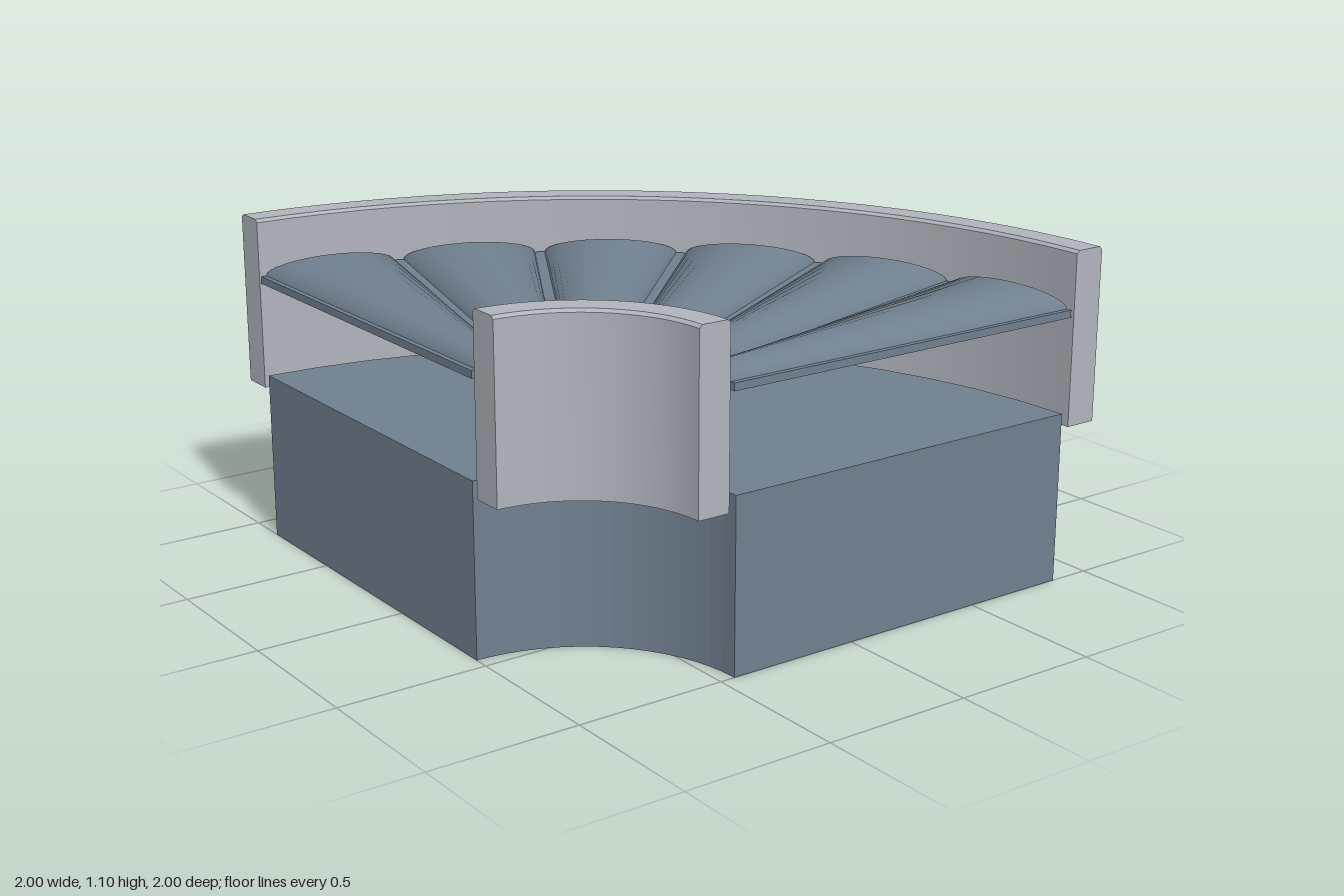
import * as THREE from 'three';
import { mergeGeometries, toCreasedNormals } from 'three/addons/utils/BufferGeometryUtils.js';

// Sweeps a closed (radius, height) profile, counterclockwise, through the quarter turn
function quarterSweep(profile, segments, crease) {
  const points = profile.map(([r, y]) => new THREE.Vector2(r, y));
  const wall = new THREE.LatheGeometry([...points, points[0]], segments, Math.PI / 2, Math.PI / 2);
  const frontCap = new THREE.ShapeGeometry(new THREE.Shape(points));
  const sideCap = frontCap.clone().rotateY(Math.PI / 2);
  sideCap.setIndex(Array.from(sideCap.index.array).reverse());
  return toCreasedNormals(mergeGeometries([wall, frontCap, sideCap]), crease);
}

const block = (r0, r1, y0, y1) => [[r0, y0], [r1, y0], [r1, y1], [r0, y1]];

// Rail section with a small bevel along its top edges
const railProfile = (r0, r1, b = 0.01) =>
  [[r0, 0.52], [r1, 0.52], [r1, 1.1 - b], [r1 - b, 1.1], [r0 + b, 1.1], [r0, 1.1 - b]];

// Low tapered crown, softly shaded as a round one
function slatGeometry(rIn, rOut, step) {
  const geo = new THREE.CylinderGeometry(1, 1, 1, 16, 1, false, Math.PI, Math.PI);
  geo.rotateZ(-Math.PI / 2);
  const pos = geo.attributes.position, nor = geo.attributes.normal;
  const n = new THREE.Vector3();
  for (let i = 0; i < pos.count; i++) {
    const r = (pos.getX(i) < 0 ? rIn : rOut) * Math.cos(step / 2);
    const halfWidth = r * Math.tan(step / 2) - 0.017;
    n.fromBufferAttribute(nor, i);
    if (Math.abs(n.x) < 0.5) {
      n.set(0, pos.getY(i) + 0.45, pos.getZ(i)).normalize();
      nor.setXYZ(i, n.x, n.y, n.z);
    }
    pos.setXYZ(i, r, 0.91 + 0.047 * pos.getY(i), pos.getZ(i) * halfWidth);
  }
  return geo;
}

export function createModel() {
  const model = new THREE.Group();
  model.name = 'curvedConveyor';
  const railGrey = new THREE.MeshStandardMaterial({ color: 0xb0b4bb });
  railGrey.name = 'railGrey';
  const slateBlue = new THREE.MeshStandardMaterial({ color: 0x708090 });
  slateBlue.name = 'slateBlue';

  const add = (name, geometry, material) => {
    const mesh = new THREE.Mesh(geometry, material);
    mesh.name = name;
    mesh.position.set(-1, 0, 1); // centre of the turn
    model.add(mesh);
    return mesh;
  };

  // Base and side rails
  add('base', quarterSweep(block(0.55, 1.86, 0, 0.57), 16, 0.05), slateBlue);
  add('outerRail', quarterSweep(railProfile(1.89, 2), 24, 0.5), railGrey);
  add('innerRail', quarterSweep(railProfile(0.415, 0.525), 24, 0.5), railGrey);

  // Thin bed with six straight-ended slats on top
  const count = 6, step = Math.PI / 2 / count, rIn = 0.54, rOut = 1.877;
  add('bed', quarterSweep(block(rIn, rOut, 0.885, 0.91), count, 0.05), slateBlue);
  const slat = slatGeometry(rIn, rOut, step);
  for (let i = 0; i < count; i++) {
    add('slat' + (i + 1), slat, slateBlue).rotation.y = (i + 0.5) * step;
  }
  return model;
}
